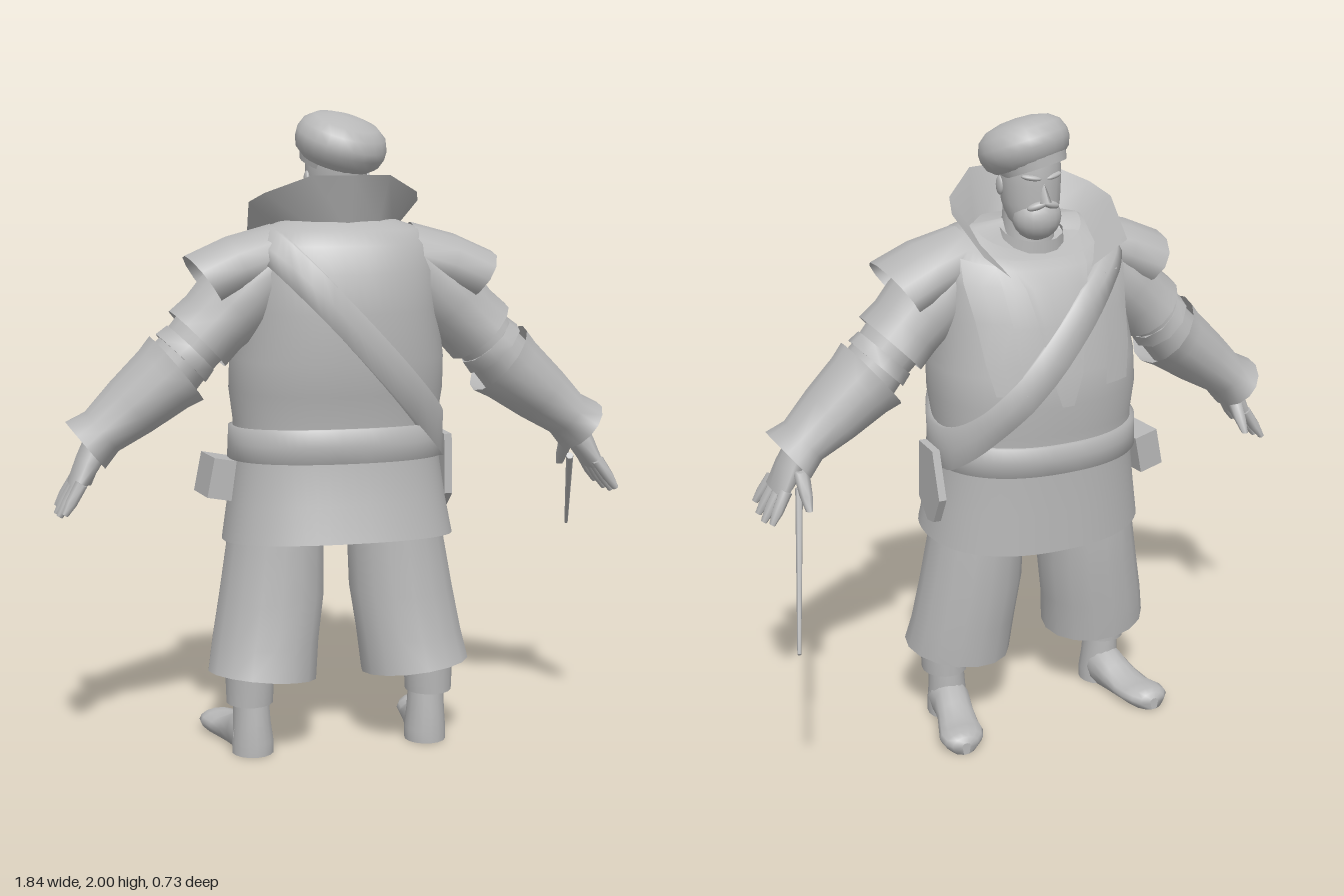
import * as THREE from 'three';

const grey = new THREE.MeshStandardMaterial({ color: 0xb8b8b8, side: THREE.DoubleSide });
grey.name = 'plain grey';
const V = (x, y, z) => new THREE.Vector3(x, y, z);
const Z = V(0, 0, 1), Y = V(0, 1, 0);

function add(parent, name, geometry, pos = [0, 0, 0], scale = [1, 1, 1], rot = [0, 0, 0]) {
  const m = new THREE.Mesh(geometry, grey);
  m.name = name;
  m.position.set(...pos);
  m.scale.set(...scale);
  m.rotation.set(...rot);
  parent.add(m);
  return m;
}

// Skin over rows of points; closed rows wrap round, caps get their own corners
function skin(rows, closed = true, caps = true) {
  const pts = rows.flat(), n = rows[0].length, idx = [];
  for (let i = 0; i < rows.length - 1; i++) {
    for (let j = 0; j < (closed ? n : n - 1); j++) {
      const a = i * n + j, b = i * n + (j + 1) % n;
      idx.push(a, b, a + n, b, b + n, a + n);
    }
  }
  if (closed && caps) {
    for (const [row, flip] of [[rows[0], true], [rows[rows.length - 1], false]]) {
      const s = pts.length;
      const mid = row.reduce((c, p) => c.add(p), V(0, 0, 0)).divideScalar(n);
      pts.push(...row, mid);
      for (let j = 0; j < n; j++) {
        const a = s + j, b = s + (j + 1) % n;
        if (flip) idx.push(b, a, s + n); else idx.push(a, b, s + n);
      }
    }
  }
  const g = new THREE.BufferGeometry().setFromPoints(pts);
  g.setIndex(idx);
  g.computeVertexNormals();
  return g;
}

// Elliptic ring round c, facing d, with radius rv along v and ru across it
function ring(c, d, ru, rv, n = 14, v = Z) {
  const u = v.clone().cross(d).normalize();
  return Array.from({ length: n }, (_, j) => {
    const a = j / n * Math.PI * 2;
    return c.clone().addScaledVector(u, ru * Math.cos(a)).addScaledVector(v, rv * Math.sin(a));
  });
}

// Limb piece from A to B; stations are [t, ru, rv]
function limb(A, B, stations, n = 14, caps = true) {
  const d = B.clone().sub(A).normalize();
  return skin(stations.map(([t, ru, rv]) => ring(A.clone().lerp(B, t), d, ru, rv, n)), true, caps);
}

// Coat profile: height, half width, back z, front z
const coat = [
  [0.68, 0.365, 0.355, -0.18], [0.8, 0.345, 0.33, -0.18], [0.95, 0.325, 0.305, -0.18],
  [1.05, 0.322, 0.305, -0.185], [1.15, 0.335, 0.33, -0.2], [1.25, 0.333, 0.345, -0.195],
  [1.4, 0.31, 0.352, -0.16], [1.52, 0.31, 0.34, -0.125], [1.6, 0.295, 0.305, -0.085],
  [1.645, 0.255, 0.275, -0.05], [1.67, 0.18, 0.22, -0.01],
];
function body(a, y, off = 0) {
  let i = 0;
  while (i < coat.length - 2 && y > coat[i + 1][0]) i++;
  const p = coat[i], q = coat[i + 1];
  const t = THREE.MathUtils.clamp((y - p[0]) / (q[0] - p[0]), 0, 1);
  const [rx, zb, zf] = [1, 2, 3].map(k => p[k] + (q[k] - p[k]) * t);
  const pw = s => Math.sign(s) * Math.abs(s) ** 0.88;
  const rz = (zb - zf) / 2 + off;
  // the hem hangs lower in front, and the neckline scoops down in front
  let dip = 0;
  if (y < 0.9) dip = 0.025 * Math.sin(a) * (0.9 - y) / 0.22;
  else if (y > 1.5) dip = 0.07 * Math.min(0, Math.sin(a)) * (y - 1.5) / 0.17;
  return V(-(rx + off) * pw(Math.cos(a)), y + dip, (zb + zf) / 2 + rz * pw(Math.sin(a)));
}
const around = (n, f) => Array.from({ length: n }, (_, j) => f(j / n * Math.PI * 2));

function torso(root) {
  add(root, 'coat', skin(coat.map(r => around(64, a => body(a, r[0]))), true, false));
  add(root, 'coatTop', skin([[0, 1], [0.01, 0.4]].map(([rise, s]) =>
    around(64, a => body(a, 1.67).multiply(V(s, 1, s)).add(V(0, rise, 0.1 * (1 - s)))))));
  // belt and shoulder strap hug the coat
  const band = (low, high, off) => skin([[0, -0.01], [0, off], [0.5, off], [1, off], [1, -0.01]].map(([t, o]) =>
    around(64, a => body(a, THREE.MathUtils.lerp(low(a), high(a), t), o))), true, false);
  add(root, 'belt', band(a => 0.935 + 0.01 * Math.sin(a), a => 1.035 + 0.015 * Math.sin(a), 0.014));
  const slant = shift => a => {
    let y = 1.3;
    for (let k = 0; k < 50; k++) {
      const want = 1.343 + shift - 1.1 * body(a, y).x;
      y += 0.3 * (THREE.MathUtils.clamp(want, 0.93, 1.66) - y);
    }
    return y;
  };
  add(root, 'shoulderStrap', band(slant(-0.07), slant(0.07), 0.016));
  // hanging lapels on the chest
  for (const s of [-1, 1]) {
    const rows = [1.2, 1.3, 1.42, 1.54, 1.62].map((y, i) => [0, 0.5, 1].map(t =>
      body(Math.PI * 1.5 + s * (0.34 + 0.06 * i + t * (0.3 + 0.05 * i)), y, 0.016)));
    add(root, 'lapel', skin(rows, false));
  }
  // shirt front between the lapels
  add(root, 'shirtFront', skin([1.15, 1.25, 1.4, 1.52, 1.6, 1.64].map((y, i) => [-4, -3, -2, -1, 0, 1, 2, 3, 4].map(t =>
    body(Math.PI * 1.5 + t * (0.01 + 0.02 * i), y, 0.008))), false));
  add(root, 'hips', skin([[0.7, 0.2, 0.14], [0.78, 0.3, 0.2], [0.92, 0.3, 0.22]].map(([y, rx, rz]) =>
    ring(V(0, y, 0.07), Y, rx, rz, 20))));
  // belt pouch and sword hanger
  add(root, 'pouch', new THREE.BoxGeometry(0.085, 0.125, 0.14), [-0.375, 0.875, 0.04], [1, 1, 1], [0, 0.12, -0.2]);
  const frog = new THREE.Shape([[-0.05, 0.99], [0.06, 0.99], [0.11, 0.84], [0.06, 0.75], [0.01, 0.74], [-0.06, 0.8]]
    .map(p => new THREE.Vector2(...p)));
  add(root, 'swordHanger', new THREE.ExtrudeGeometry(frog, { depth: 0.025, bevelEnabled: false }),
    [0.345, 0, 0.06], [1, 1, 1], [0, Math.PI / 2, 0]);
}

function collar(root) {
  // half outlines from the middle of the back to the front tip
  const half = (p) => [...p.slice(1).reverse().map(([x, y, z]) => V(-x, y, z)), ...p.map(q => V(...q))];
  const low = half([[0, 1.645, 0.22], [0.1, 1.65, 0.2], [0.175, 1.645, 0.1], [0.18, 1.6, 0], [0.13, 1.54, -0.08]]);
  const high = half([[0, 1.81, 0.28], [0.12, 1.81, 0.26], [0.24, 1.755, 0.14], [0.27, 1.725, 0.05], [0.24, 1.63, -0.12]]);
  add(root, 'highCollar', skin([low, high], false));
}

function head(root) {
  const g = new THREE.Group();
  g.name = 'head';
  root.add(g);
  const ball = new THREE.SphereGeometry(1, 18, 12);
  add(g, 'neck', new THREE.CylinderGeometry(0.075, 0.09, 0.18, 14), [0, 1.66, 0.09]);
  add(g, 'shirtCollar', new THREE.CylinderGeometry(0.1, 0.115, 0.06, 14, 1, true), [0, 1.625, 0.07], [1, 1, 1], [-0.25, 0, 0]);
  add(g, 'skull', skin([[1.65, 0.05, 0.06, 0.035], [1.69, 0.078, 0.085, 0.055], [1.74, 0.09, 0.098, 0.066],
    [1.8, 0.095, 0.105, 0.072], [1.86, 0.096, 0.11, 0.078], [1.91, 0.085, 0.1, 0.08]]
    .map(([y, rx, rz, z]) => ring(V(0, y, z), Y, rx, rz, 18))));
  add(g, 'beard', ball, [0, 1.695, 0.022], [0.078, 0.072, 0.066]);
  add(g, 'nose', new THREE.ConeGeometry(0.02, 0.07, 4), [0, 1.785, -0.034], [1, 1, 1], [0.25, 0, 0]);
  for (const s of [-1, 1]) {
    add(g, 'brow', ball, [s * 0.037, 1.828, -0.018], [0.032, 0.009, 0.014], [0, s * -0.35, s * 0.15]);
    add(g, 'moustache', ball, [s * 0.024, 1.742, -0.031], [0.032, 0.012, 0.014], [0, s * -0.3, s * -0.3]);
    add(g, 'ear', ball, [s * 0.095, 1.79, 0.085], [0.01, 0.03, 0.02]);
  }
  // tilted beret on its band
  const hat = new THREE.Group();
  hat.name = 'beret';
  hat.position.set(0.012, 1.912, 0.095);
  hat.rotation.set(0.3, 0, -0.2);
  g.add(hat);
  add(hat, 'beretCrown', new THREE.LatheGeometry([[0.108, -0.07], [0.132, -0.05], [0.143, -0.02], [0.143, 0.005],
    [0.13, 0.037], [0.1, 0.06], [0.05, 0.073], [0, 0.076]].map(p => new THREE.Vector2(...p)), 22));
  add(hat, 'beretBand', new THREE.CylinderGeometry(0.11, 0.103, 0.03, 22), [-0.005, -0.072, -0.012]);
}

function arm() {
  const g = new THREE.Group();
  g.name = 'arm';
  const z = 0.13;
  add(g, 'upperSleeve', limb(V(0.2, 1.56, z), V(0.45, 1.318, z),
    [[0, 0.1, 0.13], [0.4, 0.125, 0.143], [0.6, 0.125, 0.143], [0.8, 0.116, 0.138], [1, 0.12, 0.147]], 14, false));
  // flared shoulder flap sloping out from the collar, open over the sleeve
  add(g, 'shoulderCap', skin([[0.2, 1.575, 1, -0.25, 0.09, 0.12], [0.325, 1.537, 0.9, -0.37, 0.095, 0.148], [0.43, 1.49, 0.82, -0.57, 0.097, 0.157]]
    .map(([x, y, dx, dy, ru, rv]) => ring(V(x, y, z + 0.003), V(dx, dy, 0), ru, rv, 12)), true, false));
  add(g, 'elbow', limb(V(0.41, 1.357, z), V(0.56, 1.19, z), [[0, 0.1, 0.117], [0.5, 0.093, 0.11], [1, 0.1, 0.113]]));
  add(g, 'elbowBand', limb(V(0.47, 1.29, z), V(0.5, 1.26, z), [[0, 0.1, 0.117], [1, 0.107, 0.121]], 10));
  add(g, 'gauntlet', limb(V(0.515, 1.23, z), V(0.795, 1.005, z),
    [[0, 0.128, 0.146], [0.15, 0.115, 0.133], [0.5, 0.099, 0.123], [0.82, 0.078, 0.105], [1, 0.092, 0.13]], 14, false));
  add(g, 'wrist', limb(V(0.66, 1.113, z), V(0.78, 1.017, z), [[0, 0.075, 0.097], [1, 0.07, 0.09]]));
  // hand: flat palm, four fingers and a thumb
  add(g, 'palm', limb(V(0.75, 1.03, 0.14), V(0.83, 0.885, 0.155),
    [[0, 0.045, 0.055], [0.5, 0.04, 0.07], [1, 0.025, 0.085]], 10));
  for (let i = 0; i < 4; i++) {
    const zf = 0.09 + i * 0.045, len = [0.88, 1, 0.97, 0.82][i];
    add(g, 'finger', limb(V(0.82, 0.905, zf), V(0.82 + 0.065 * len, 0.905 - 0.107 * len, zf + (i - 1.4) * 0.016),
      [[0, 0.02, 0.024], [0.6, 0.018, 0.021], [1, 0.01, 0.012]], 7));
  }
  add(g, 'thumb', limb(V(0.77, 0.965, 0.09), V(0.775, 0.86, 0.01),
    [[0, 0.026, 0.03], [0.6, 0.021, 0.022], [1, 0.011, 0.012]], 7));
  return g;
}

function leg() {
  const g = new THREE.Group();
  g.name = 'leg';
  const down = (rows) => rows.map(([x, y, z, rx, rz]) => ring(V(x, y, z), V(0, -1, 0), rx, rz, 16));
  const trouser = down([[0.185, 0.8, 0.065, 0.145, 0.15], [0.197, 0.66, 0.065, 0.155, 0.157], [0.212, 0.5, 0.077, 0.167, 0.161],
    [0.235, 0.36, 0.09, 0.17, 0.163], [0.25, 0.25, 0.11, 0.172, 0.17]]);
  // slanted hem
  trouser[4].forEach(p => { p.y += 0.11 * (p.x - 0.25) + 0.08 * (p.z - 0.11); });
  add(g, 'trouserLeg', skin(trouser));
  add(g, 'bootCuff', skin(down([[0.293, 0.28, 0.12, 0.078, 0.085], [0.293, 0.165, 0.12, 0.074, 0.08]])));
  add(g, 'bootShaft', skin(down([[0.288, 0.18, 0.115, 0.056, 0.062], [0.286, 0.1, 0.117, 0.06, 0.068], [0.284, 0.04, 0.12, 0.066, 0.07],
    [0.284, 0, 0.12, 0.066, 0.07]])));
  // foot swept from instep to rounded toe, flattened at the sole
  const foot = [[0.287, 0.06, 0.13, 0.062, 0.075], [0.292, 0.055, 0.06, 0.064, 0.073],
    [0.305, 0.043, 0, 0.064, 0.05], [0.32, 0.033, -0.06, 0.07, 0.034], [0.332, 0.034, -0.11, 0.076, 0.035],
    [0.339, 0.033, -0.15, 0.066, 0.034], [0.343, 0.03, -0.17, 0.045, 0.027], [0.344, 0.028, -0.18, 0.015, 0.012]];
  add(g, 'bootFoot', skin(foot.map(([x, y, z, rx, ry]) => {
    const r = ring(V(x, y, z), V(0, 0, -1), rx, ry, 14, Y);
    r.forEach(p => { p.y = p.y < y - ry * 0.55 ? 0 : p.y; });
    return r;
  })));
  return g;
}

export function createModel() {
  const root = new THREE.Group();
  root.name = 'swordsman';
  const figure = new THREE.Group();
  figure.name = 'figure';
  figure.position.x = -0.03;
  root.add(figure);
  torso(figure);
  collar(figure);
  head(figure);
  for (const s of [-1, 1]) {
    for (const part of [arm(), leg()]) {
      part.scale.x = s;
      figure.add(part);
    }
  }
  // thin blade held in one hand, pointing down and forward
  const a = V(0.775, 0.9, 0.1), b = V(0.945, 0.58, -0.355);
  const blade = add(figure, 'rapierBlade', new THREE.CylinderGeometry(0.006, 0.012, a.distanceTo(b), 6));
  blade.position.copy(a).lerp(b, 0.5);
  blade.quaternion.setFromUnitVectors(Y, b.clone().sub(a).normalize());
  return root;
}
